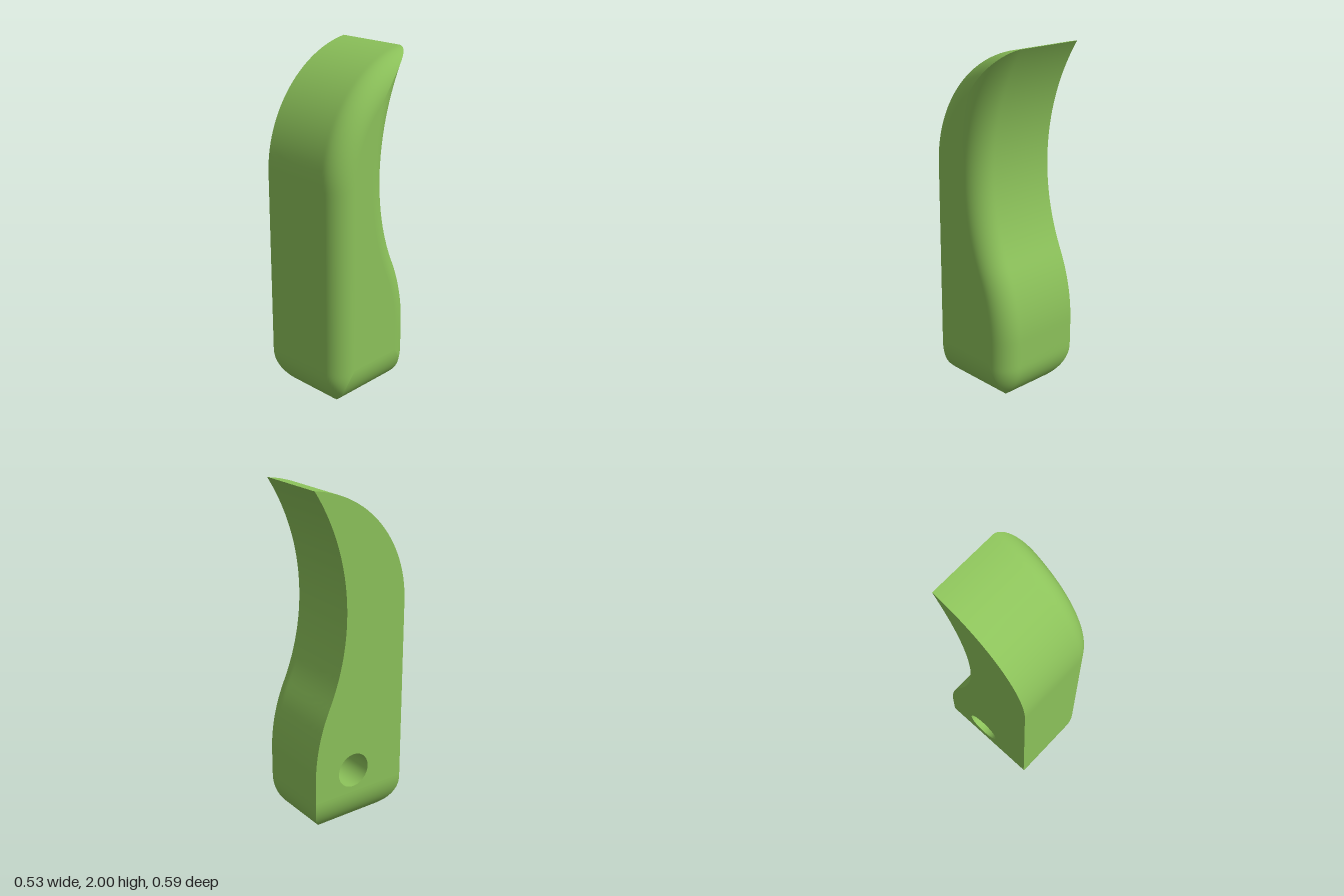
import * as THREE from 'three';

const W = 0.265;       // half width, also the radius of the rounded underside
const FILLET = 0.125;  // rounding of the +x edges
const FOOT = 0.24;     // radius of the lower front and back corners

const root = (r, t) => Math.sqrt(Math.max(0, r * r - t * t));

// Side outline made of tangent arcs, inset by d
function frontZ(y, d) {
  if (y < FOOT) return 0.055 + root(FOOT - d, y - FOOT);
  if (y < 1.33) return 0.295 - d;
  return -0.381 + root(0.676 - d, y - 1.33);
}
function backZ(y, d) {
  if (y < FOOT) return -0.055 - root(FOOT - d, y - FOOT);
  if (y < 0.4) return -0.295 + d;
  if (y < 0.4 + 0.421 * (0.99 - d)) return 0.695 - root(0.99 - d, y - 0.4);
  return -1.31 + root(1.22 + d, y - 1.33);
}

const inset = (x) => (x > W - FILLET ? FILLET - root(FILLET, x - W + FILLET) : 0);
const floorY = (x) => W - root(W, x);

// Height where the inset front and back curves meet
function tipY(d) {
  let lo = 1.2, hi = 2.006 - d;
  for (let i = 0; i < 40; i++) {
    const mid = (lo + hi) / 2;
    if (frontZ(mid, d) > backZ(mid, d)) lo = mid; else hi = mid;
  }
  return lo;
}

const ease = (t) => (1 - Math.cos(Math.PI * t)) / 2;
const stationX = (u) => W * (2 * ease(u) - 1);

// Point on the front or back curve at station x, v from underside to tip
function wall(curve, x, v) {
  const d = inset(x), y0 = floorY(x);
  const y = y0 + (tipY(d) - y0) * ease(v);
  return [x, y, curve(y, d)];
}

// Smooth sheet: a grid moved by a rule f(u, v)
function sheet(f, nu, nv) {
  const g = new THREE.PlaneGeometry(1, 1, nu, nv);
  const uv = g.attributes.uv, p = g.attributes.position;
  for (let i = 0; i < p.count; i++) p.setXYZ(i, ...f(uv.getX(i), uv.getY(i)));
  g.computeVertexNormals();
  return g;
}

export function createModel() {
  const group = new THREE.Group();
  const color = 0x8cc25a;
  const mat = new THREE.MeshStandardMaterial({ color });
  const inner = new THREE.MeshStandardMaterial({ color, side: THREE.BackSide });
  const add = (name, geo, m = mat) => {
    const mesh = new THREE.Mesh(geo, m);
    mesh.name = name;
    group.add(mesh);
    return mesh;
  };

  // Curved front and back walls with the filleted +x edges
  add('frontWall', sheet((u, v) => wall(frontZ, stationX(u), v), 56, 72));
  add('backWall', sheet((u, v) => wall(backZ, stationX(1 - u), v), 56, 72));

  // Half-round underside
  add('underside', sheet((u, v) => {
    const x = stationX(u), y = floorY(x), d = inset(x);
    return [x, y, THREE.MathUtils.lerp(backZ(y, d), frontZ(y, d), v)];
  }, 56, 6));

  // Flat strip left between the fillets
  add('roundedSide', sheet((u, v) => {
    const [x, y, z] = wall(backZ, W, u);
    return [x, y, THREE.MathUtils.lerp(z, frontZ(y, FILLET), v)];
  }, 72, 4));

  // Flat side with a blind round hole
  const hole = { y: 0.4, z: -0.04, r: 0.1, depth: 0.3 };
  const N = 72, pts = [];
  for (let i = 0; i <= N; i++) {
    const [, y, z] = wall(frontZ, -W, i / N);
    pts.push(new THREE.Vector2(z, y));
  }
  for (let i = N - 1; i >= 0; i--) {
    const [, y, z] = wall(backZ, -W, i / N);
    pts.push(new THREE.Vector2(z, y));
  }
  const shape = new THREE.Shape(pts);
  shape.holes.push(new THREE.Path().absarc(hole.z, hole.y, hole.r, 0, Math.PI * 2, true));
  add('flatSide', new THREE.ShapeGeometry(shape, 24).rotateY(-Math.PI / 2)).position.x = -W;

  const bore = new THREE.CylinderGeometry(hole.r, hole.r, hole.depth, 48, 1, true).rotateZ(Math.PI / 2);
  add('holeWall', bore, inner).position.set(-W + hole.depth / 2, hole.y, hole.z);
  const end = new THREE.CircleGeometry(hole.r, 48).rotateY(-Math.PI / 2);
  add('holeEnd', end).position.set(-W + hole.depth, hole.y, hole.z);

  return group;
}
